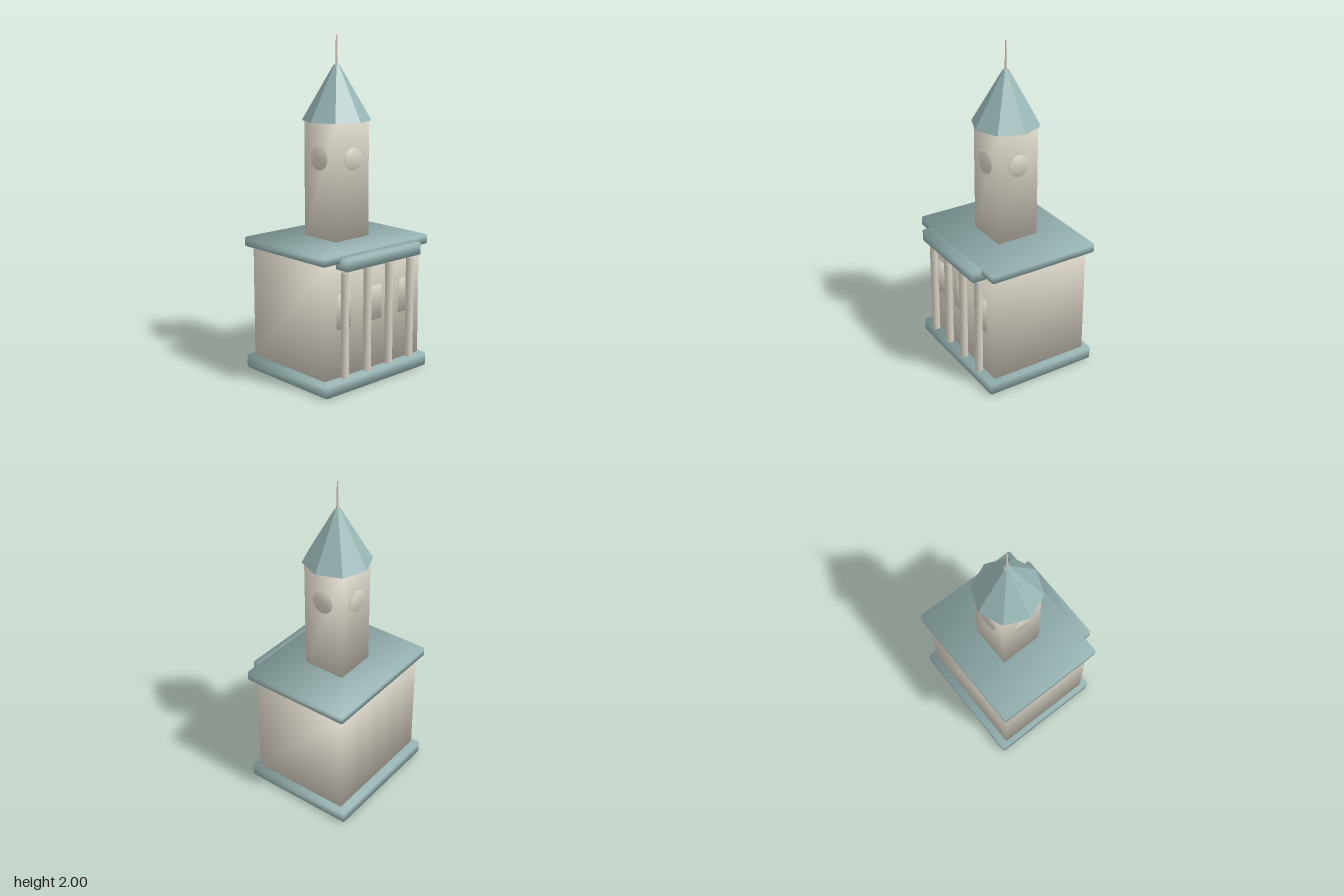
import * as THREE from 'three';
import { mergeVertices } from 'three/addons/utils/BufferGeometryUtils.js';
import { RoundedBoxGeometry } from 'three/addons/geometries/RoundedBoxGeometry.js';

export function createModel() {
  const model = new THREE.Group();
  const stone = new THREE.MeshStandardMaterial({ color: 0xd6d0c3 });
  stone.name = 'warm stone';
  const teal = new THREE.MeshStandardMaterial({ color: 0x98b6b5 });
  teal.name = 'pale teal';
  const axisZ = -0.024; // tower and roof centre line

  const add = (name, geometry, material, x, y, z) => {
    const mesh = new THREE.Mesh(geometry, material);
    mesh.name = name;
    mesh.position.set(x, y, z);
    model.add(mesh);
    return mesh;
  };

  // Bevelled block given by its extents, shaded softly around its corners
  const block = (name, material, [x0, x1], [y0, y1], [z0, z1], bevel) => {
    const g = new RoundedBoxGeometry(x1 - x0, y1 - y0, z1 - z0, 1, bevel);
    const p = g.attributes.position, n = g.attributes.normal;
    const v = new THREE.Vector3();
    for (let i = 0; i < p.count; i++) {
      v.set(Math.sign(p.getX(i)), Math.sign(p.getY(i)), Math.sign(p.getZ(i))).normalize();
      n.setXYZ(i, v.x, v.y, v.z);
    }
    return add(name, g, material, (x0 + x1) / 2, (y0 + y1) / 2, (z0 + z1) / 2);
  };

  // Joins caps and sides so the shading runs over the rims
  const soften = (geometry) => {
    geometry.deleteAttribute('normal');
    geometry.deleteAttribute('uv');
    const g = mergeVertices(geometry);
    g.computeVertexNormals();
    return g;
  };

  // Main building
  block('base', teal, [-0.412, 0.412], [0, 0.086], [-0.386, 0.335], 0.013);
  block('walls', stone, [-0.385, 0.385], [0.08, 0.77], [-0.342, 0.292], 0.012);
  block('roof', teal, [-0.422, 0.422], [0.762, 0.823], [-0.376, 0.325], 0.012);

  // Porch
  block('porchRoof', teal, [-0.302, 0.302], [0.725, 0.803], [0.285, 0.384], 0.012);
  for (const x of [-0.264, -0.088, 0.088, 0.264]) {
    add('porchColumn', soften(new THREE.CylinderGeometry(0.024, 0.024, 0.61, 12)), stone, x, 0.402, 0.327);
  }
  for (const x of [-0.25, 0, 0.25]) {
    block('window', stone, [x - 0.048, x + 0.048], [0.378, 0.582], [0.28, 0.309], 0.002);
  }

  // Tower
  block('tower', stone, [-0.135, 0.135], [0.81, 1.512], [axisZ - 0.135, axisZ + 0.135], 0.006);

  // Round clock discs on all four sides
  for (let i = 0; i < 4; i++) {
    const a = i * Math.PI / 2;
    const g = soften(new THREE.CylinderGeometry(0.067, 0.067, 0.02, 24));
    g.rotateX(Math.PI / 2);
    const disc = add('clockDisc', g, stone, Math.sin(a) * 0.134, 1.296, axisZ + Math.cos(a) * 0.134);
    disc.rotation.y = a;
  }

  // Faceted spire and its needle
  const spire = new THREE.CylinderGeometry(0.018, 0.203, 0.32, 8).toNonIndexed();
  spire.computeVertexNormals();
  add('spire', spire, teal, 0, 1.67, axisZ);
  add('needle', new THREE.CylinderGeometry(0.004, 0.008, 0.18, 8), stone, 0, 1.91, axisZ);

  return model;
}
